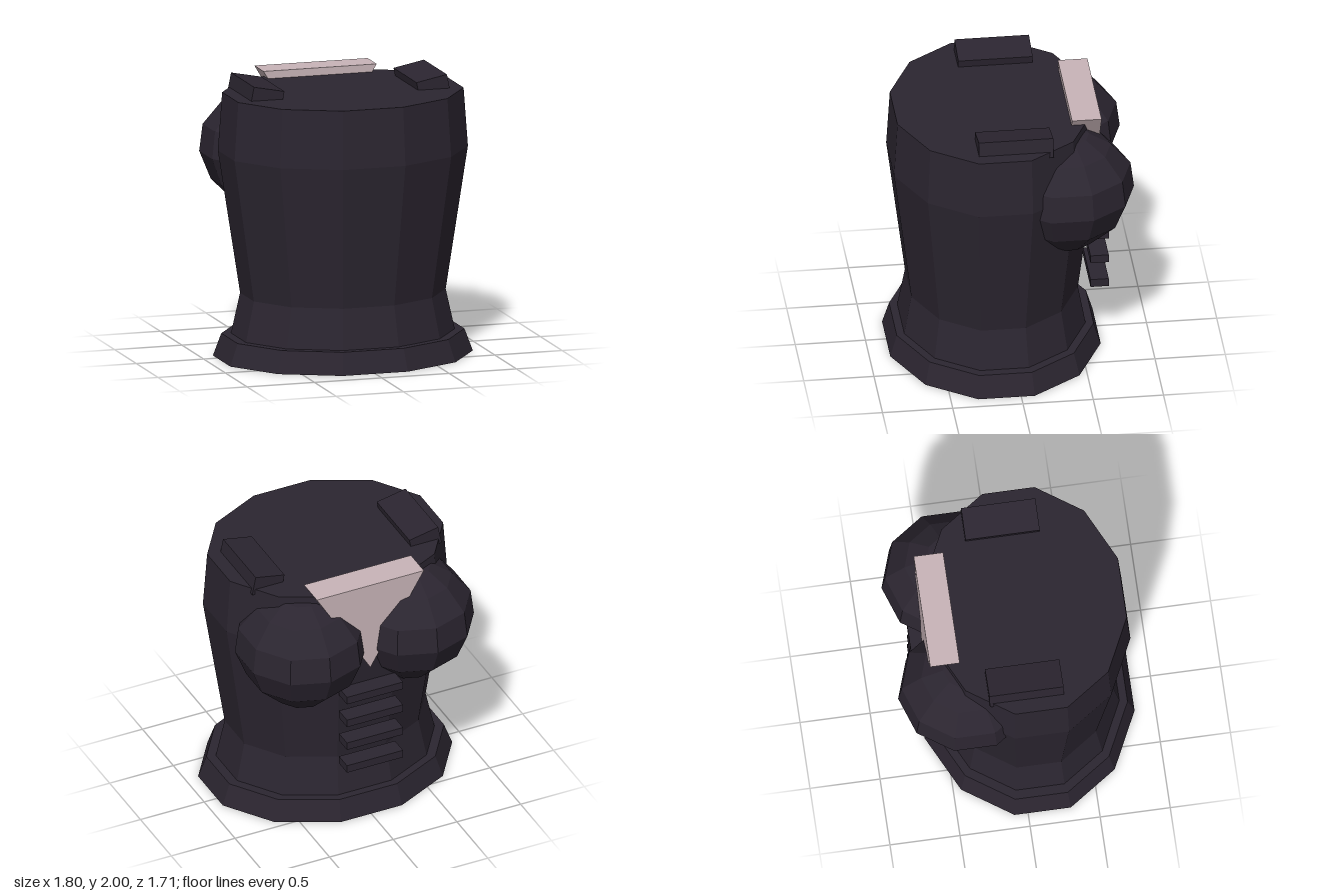
import * as THREE from 'three';

const dark = new THREE.MeshStandardMaterial({ color: 0x2b2530, flatShading: true });
const pale = new THREE.MeshStandardMaterial({ color: 0xc8b4b8, flatShading: true });

function add(parent, name, geometry, material, x = 0, y = 0, z = 0) {
  const mesh = new THREE.Mesh(geometry, material);
  mesh.name = name;
  mesh.position.set(x, y, z);
  parent.add(mesh);
  return mesh;
}

// Faceted closed solid from [radius, height] pairs, listed bottom to top
function turned(profile, sides, phiStart, scaleX, scaleZ) {
  const points = profile.map(([r, y]) => new THREE.Vector2(r, y));
  return new THREE.LatheGeometry(points, sides, phiStart).scale(scaleX, 1, scaleZ);
}

export function createModel() {
  const group = new THREE.Group();
  group.name = 'corset';

  // Twelve-sided oval body and flared hem; profile radii are half widths
  const step = Math.PI / 12;
  const wide = 1 / Math.cos(step);
  const oval = (profile) => turned(profile, 12, step, wide, wide * 0.832);
  add(group, 'body', oval([[0, 0.05], [0.80, 0.05], [0.775, 0.16], [0.712, 0.45],
    [0.866, 1.48], [0.836, 1.9], [0, 1.9]]), dark, 0, 0, 0.104);
  add(group, 'hem', oval([[0, 0], [0.9, 0], [0.842, 0.16], [0, 0.16]]), dark, 0, 0, 0.104);

  // Rounded cups
  const cupProfile = [[0, 1.0], [0.2, 1.0], [0.405, 1.19], [0.49, 1.39],
    [0.465, 1.585], [0.325, 1.75], [0.17, 1.845], [0, 1.86]];
  // Tilted shoulder pads
  for (const [side, s] of [['left', 1], ['right', -1]]) {
    add(group, side + 'Cup', turned(cupProfile, 10, 0, 0.955, 1), dark, s * 0.42, 0, -0.37);
    const pad = add(group, side + 'ShoulderPad', new THREE.BoxGeometry(0.23, 0.143, 0.53),
      dark, s * 0.617, 1.908, 0.015);
    pad.rotation.z = s * 0.196;
  }

  // Triangular wedge between the cups
  const wedge = new THREE.Shape([new THREE.Vector2(-0.42, 1.955),
    new THREE.Vector2(0, 1.25), new THREE.Vector2(0.42, 1.955)]);
  add(group, 'neckWedge', new THREE.ExtrudeGeometry(wedge, { depth: 0.21, bevelEnabled: false }),
    pale, 0, 0, -0.63);

  // Row of lacing bars
  for (let i = 0; i < 4; i++) {
    add(group, 'lacingBar' + (i + 1), new THREE.BoxGeometry(0.44, 0.06, 0.13),
      dark, 0, 0.486 + i * 0.196, -0.64);
  }
  return group;
}
